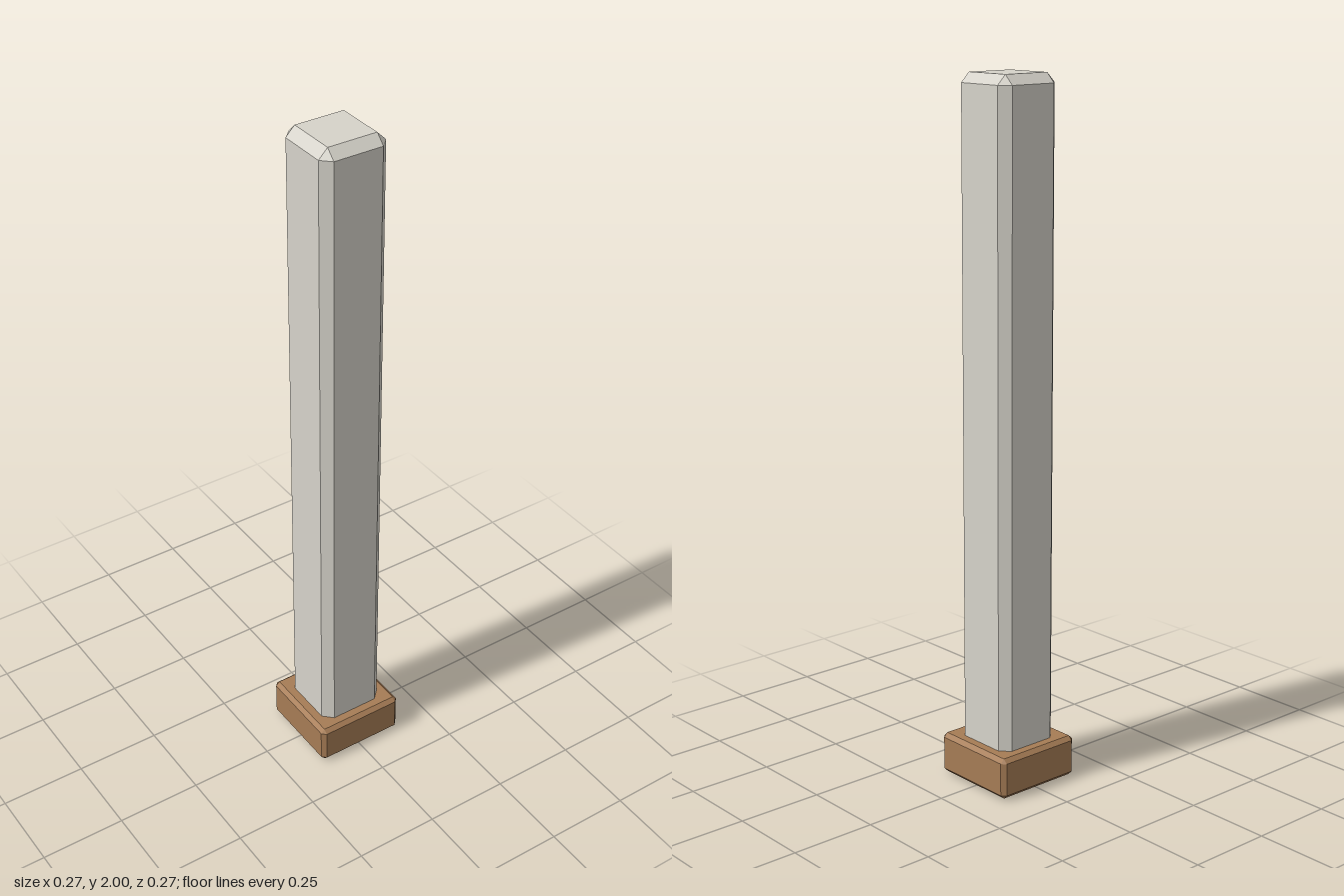
import * as THREE from 'three';
import { ConvexGeometry } from 'three/addons/geometries/ConvexGeometry.js';

// Square block standing from y0 to y1, with every edge chamfered by b
function chamferedBlock(name, half, y0, y1, b, color) {
  const size = [half, (y1 - y0) / 2, half];
  const points = [];
  for (const sx of [-1, 1]) for (const sy of [-1, 1]) for (const sz of [-1, 1]) {
    // three points per corner, each lying on one of the adjoining faces
    for (let axis = 0; axis < 3; axis++) {
      const [x, y, z] = size.map((s, i) => (i === axis ? s : s - b));
      points.push(new THREE.Vector3(sx * x, sy * y, sz * z));
    }
  }
  const material = new THREE.MeshStandardMaterial({ color, flatShading: true });
  const mesh = new THREE.Mesh(new ConvexGeometry(points), material);
  mesh.name = name;
  mesh.position.y = (y0 + y1) / 2;
  return mesh;
}

export function createModel() {
  const model = new THREE.Group();
  model.name = 'pillar';
  // Pale post, reaching down through the base to the ground
  model.add(chamferedBlock('post', 0.1, 0, 2, 0.027, 0xd6d3ca));
  // Brown foot around the bottom of the post
  model.add(chamferedBlock('base', 0.136, 0.004, 0.124, 0.012, 0xa67c55));
  return model;
}
